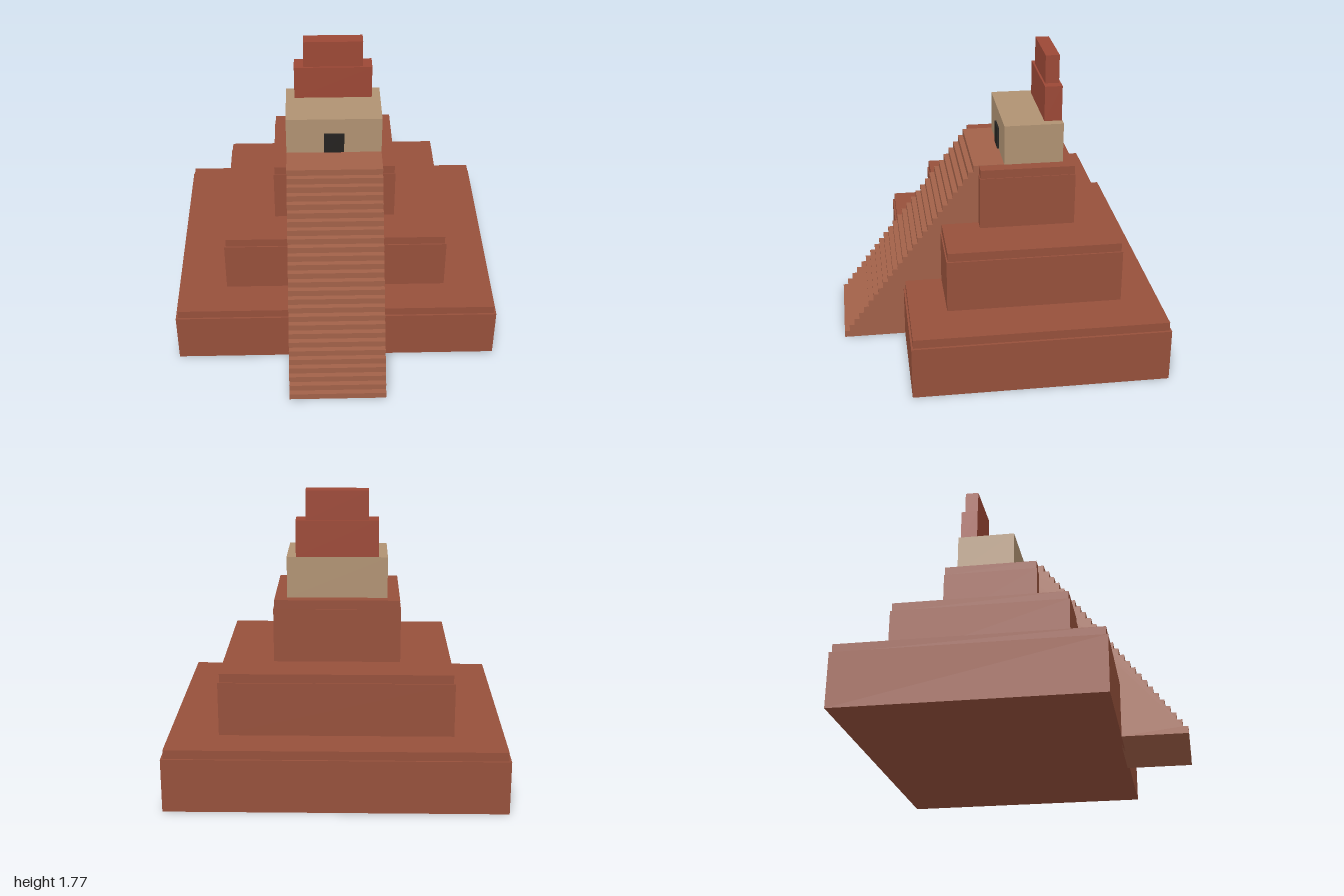
import * as THREE from 'three';

const material = (color) => new THREE.MeshStandardMaterial({ color, flatShading: true });

export function createModel() {
  const model = new THREE.Group();
  model.name = 'steppedPyramid';

  const brick = material(0x96503b);
  const stairStone = material(0xa26149);
  const plaster = material(0xb09272);
  const redStone = material(0x9c4836);
  const dark = material(0x242220);

  // Box given by half width, bottom, top, back and front
  function block(name, halfW, y0, y1, z0, z1, mat) {
    const mesh = new THREE.Mesh(new THREE.BoxGeometry(2 * halfW, y1 - y0, z1 - z0), mat);
    mesh.position.set(0, (y0 + y1) / 2, (z0 + z1) / 2);
    mesh.name = name;
    model.add(mesh);
  }

  // Three terraces, each a body with a slightly inset cap
  const centreZ = -0.19;
  const tierH = 0.3783, capH = 0.053, inset = 0.985;
  [[1, 0.763], [0.69, 0.526], [0.376, 0.29]].forEach(([w, d], i) => {
    const y = i * tierH, top = y + tierH;
    block(`terrace${i + 1}`, w, y, top - capH, centreZ - d, centreZ + d, brick);
    block(`terraceCap${i + 1}`, w * inset, top - capH, top, centreZ - d * inset, centreZ + d * inset, brick);
  });

  // Stairway: stepped side profile (z, y) extruded across the width
  const steps = 27, stairTop = 1.137, stairHalf = 0.297;
  const frontZ = 0.953, topFrontZ = 0.13;
  const run = (frontZ - topFrontZ) / (steps - 1), rise = stairTop / steps;
  const profile = new THREE.Shape();
  profile.moveTo(0.56, 0);
  for (let i = 0; i < steps; i++) {
    profile.lineTo(frontZ - i * run, i * rise);
    profile.lineTo(frontZ - i * run, (i + 1) * rise);
  }
  // Landing in front of the shrine; the back slopes down inside the terraces
  profile.lineTo(-0.06, stairTop);
  profile.lineTo(-0.06, 1.0);
  profile.closePath();
  const stairGeometry = new THREE.ExtrudeGeometry(profile, { depth: 2 * stairHalf, bevelEnabled: false });
  stairGeometry.rotateY(-Math.PI / 2);
  stairGeometry.translate(stairHalf, 0, 0);
  const stairs = new THREE.Mesh(stairGeometry, stairStone);
  stairs.name = 'stairway';
  model.add(stairs);

  // Shrine with doorway and two-stage roof comb
  block('shrine', 0.297, 1.135, 1.382, -0.415, -0.057, plaster);
  block('doorway', 0.063, 1.143, 1.278, -0.062, -0.046, dark);
  block('roofCombLower', 0.243, 1.382, 1.6, -0.412, -0.306, redStone);
  block('roofCombUpper', 0.184, 1.6, 1.774, -0.401, -0.317, redStone);

  return model;
}
